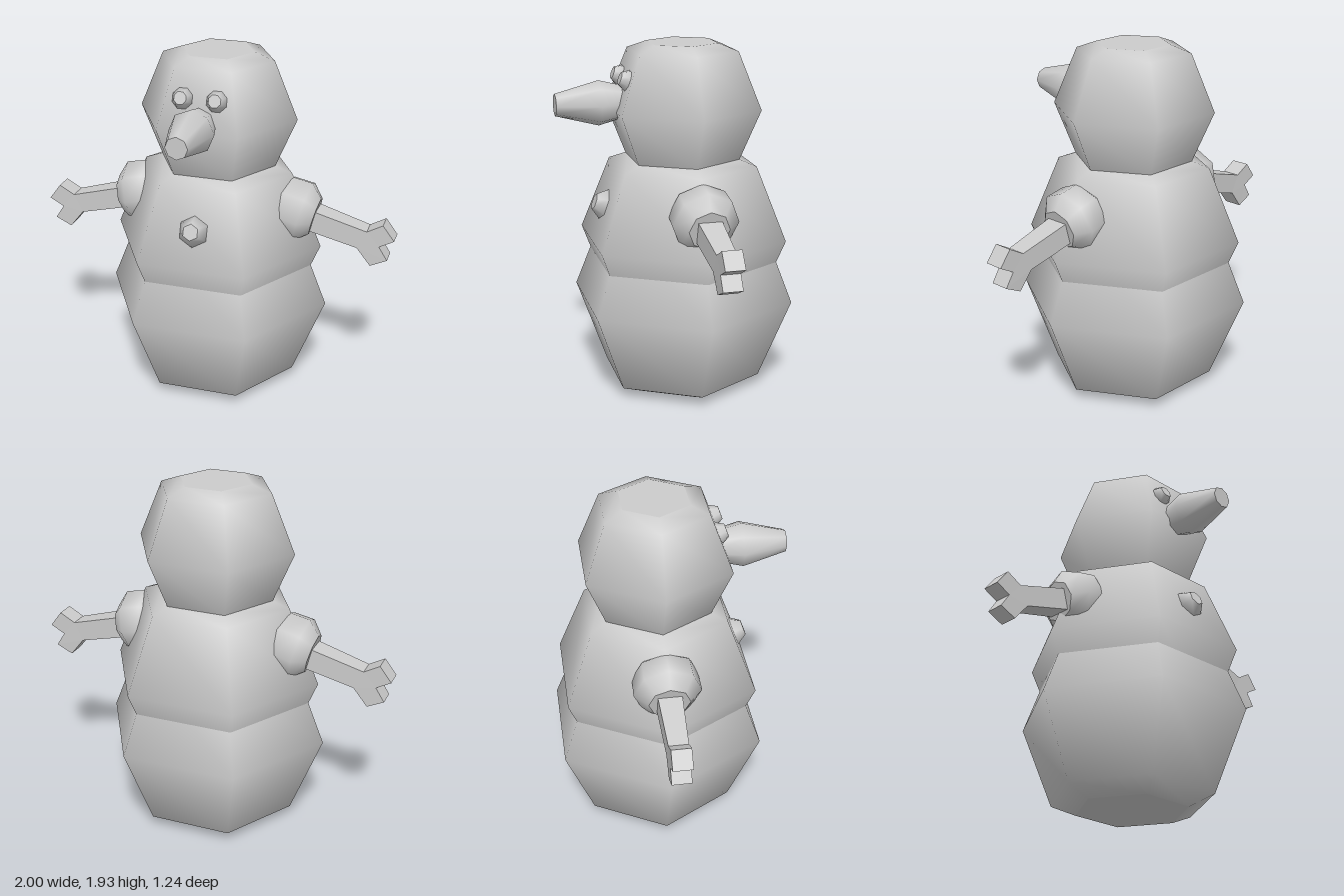
import * as THREE from 'three';

const material = new THREE.MeshStandardMaterial({ color: 0xcccccc });
const flatMaterial = new THREE.MeshStandardMaterial({ color: 0xcccccc, flatShading: true });
const axisZ = -0.075; // the body stands slightly behind the origin

// Faceted lump: smooth sides turned from [radius, height] rows, closed by flat caps
function lump(name, sides, rows, position = [0, 0, axisZ], axis = [0, 1, 0], spin = 0) {
  const group = new THREE.Group();
  group.name = name;
  const points = rows.map(([r, y]) => new THREE.Vector2(r, y));
  const wall = new THREE.LatheGeometry(points, sides, Math.PI / 2);
  group.add(new THREE.Mesh(wall.rotateY(spin), material));
  for (const [[r, y], up] of [[rows[0], -1], [rows[rows.length - 1], 1]]) {
    const cap = new THREE.CircleGeometry(r, sides);
    cap.rotateX(-up * Math.PI / 2).rotateY(spin).translate(0, y, 0);
    group.add(new THREE.Mesh(cap, material));
  }
  group.position.set(...position);
  group.quaternion.setFromUnitVectors(
    new THREE.Vector3(0, 1, 0), new THREE.Vector3(...axis).normalize());
  return group;
}

// Straight arm ending in a two-fingered hand
function arm(side) {
  const outline = [
    [0.45, 1.12], [0.85, 1.005], [0.936, 1.053], [1.0, 0.968], [0.92, 0.925],
    [0.968, 0.85], [0.877, 0.807], [0.80, 0.904], [0.45, 0.995],
  ];
  const shape = new THREE.Shape(outline.map(([x, y]) => new THREE.Vector2(side * x, y)));
  const geometry = new THREE.ExtrudeGeometry(shape, { depth: 0.105, bevelEnabled: false });
  geometry.translate(0, 0, -0.0525);
  // thicken towards the shoulder
  const p = geometry.attributes.position;
  for (let i = 0; i < p.count; i++) {
    const t = Math.max(0, (0.85 - Math.abs(p.getX(i))) / 0.4);
    p.setZ(i, p.getZ(i) * (1 + 0.3 * t));
  }
  geometry.computeVertexNormals();
  const mesh = new THREE.Mesh(geometry, flatMaterial);
  mesh.position.z = axisZ;
  mesh.name = side > 0 ? 'leftArm' : 'rightArm';
  return mesh;
}

export function createModel() {
  const model = new THREE.Group();
  model.name = 'snowman';

  // Three stacked hexagonal snowballs
  model.add(
    lump('lowerBody', 6, [[0.31, 0], [0.45, 0.06], [0.63, 0.51], [0.45, 0.96], [0.31, 1.02]]),
    lump('upperBody', 6, [[0.29, 0.40], [0.42, 0.45], [0.59, 0.86], [0.42, 1.27], [0.31, 1.31]]),
    lump('head', 6, [[0.322, 1.30], [0.44, 1.58], [0.31, 1.89], [0.2, 1.93]]),
  );

  // Blunt nose and the single chest button
  model.add(
    lump('nose', 8, [[0.08, 0.22], [0.122, 0.385], [0.06, 0.62]], [0, 1.62, 0], [0, 0, 1]),
    lump('button', 6, [[0.045, -0.055], [0.085, 0], [0.045, 0.055]],
      [0, 1.06, 0.365], [0, 0.36, 1], Math.PI / 6),
  );

  // Paired eyes, shoulders and arms
  for (const side of [1, -1]) {
    const label = side > 0 ? 'left' : 'right';
    model.add(
      lump(label + 'Eye', 8, [[0.035, -0.04], [0.058, 0], [0.035, 0.04]],
        [side * 0.092, 1.75, 0.25], [0, 0.36, 1], Math.PI / 8),
      lump(label + 'Shoulder', 8,
        [[0.11, -0.125], [0.175, -0.06], [0.18, 0.055], [0.11, 0.125]],
        [side * 0.435, 1.067, axisZ], [side * 0.97, -0.25, 0]),
      arm(side),
    );
  }
  return model;
}
